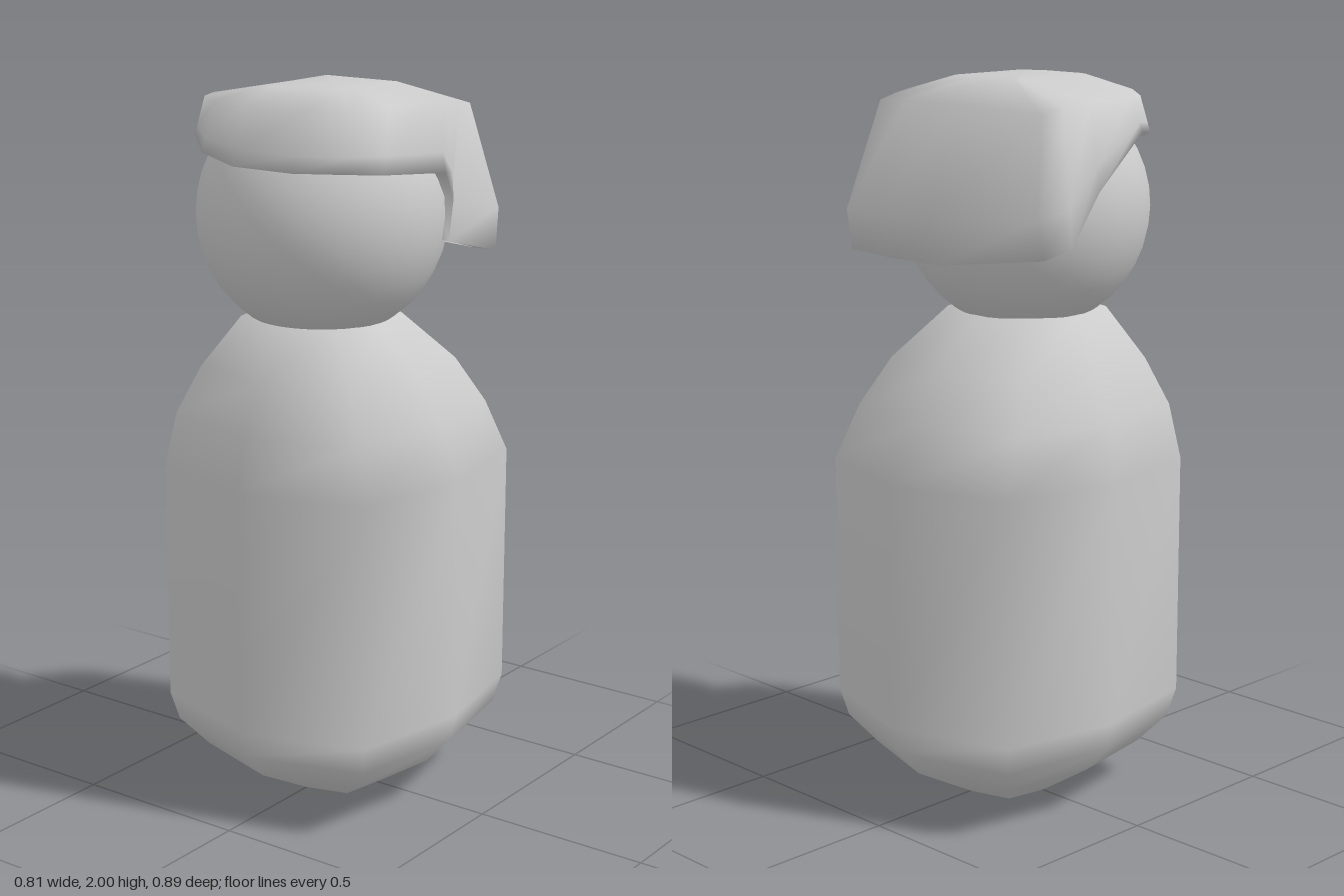
import * as THREE from 'three';

const material = new THREE.MeshStandardMaterial({ color: 0xcccccc, side: THREE.DoubleSide });

// Skin equal-length rings of [x, y, z], bottom to top, running front -> +x -> back.
function loft(name, rings, bottom, top) {
  const n = rings[0].length;
  const points = [...rings.flat()];
  const index = [];
  for (let r = 0; r < rings.length - 1; r++) {
    for (let i = 0; i < n; i++) {
      const j = (i + 1) % n;
      const a = r * n + i, b = r * n + j;
      index.push(a, b, b + n, a, b + n, a + n);
    }
  }
  const cap = (centre, start, up) => {
    const c = points.push(centre) - 1;
    for (let i = 0; i < n; i++) {
      const a = start + i, b = start + (i + 1) % n;
      index.push(...(up ? [a, b, c] : [b, a, c]));
    }
  };
  if (bottom) cap(bottom, 0, false);
  if (top) cap(top, (rings.length - 1) * n, true);
  const geometry = new THREE.BufferGeometry();
  geometry.setAttribute('position', new THREE.Float32BufferAttribute(points.flat(), 3));
  geometry.setIndex(index);
  geometry.computeVertexNormals();
  const mesh = new THREE.Mesh(geometry, material);
  mesh.name = name;
  return mesh;
}

// Eight-sided body; the neck leans forward.
function makeBody() {
  const outline = [[0, 1], [0.84, 0.764], [1, 0], [0.84, -0.764], [0, -1], [-0.84, -0.764], [-1, 0], [-0.84, 0.764]];
  // height, half width, half depth, z offset
  const sections = [
    [0, 0.14, 0.15, 0], [0.11, 0.31, 0.35, 0], [0.19, 0.385, 0.42, 0], [0.27, 0.405, 0.445, 0],
    [0.95, 0.405, 0.445, 0], [1.1, 0.365, 0.395, 0.025], [1.23, 0.3, 0.32, 0.04], [1.37, 0.19, 0.195, 0.075],
  ];
  const rings = sections.map(([y, w, d, z]) => outline.map(([ox, oz]) => [ox * w, y, oz * d + z]));
  return loft('body', rings, [0, 0, 0], [0, 1.37, 0.075]);
}

// Swept hair: short fringe in front, longer at the back with a notch by each ear.
function makeHair() {
  // lower edge, then shoulder point above it
  const columns = [
    [-0.04, 1.81, 0.40, -0.04, 1.96, 0.35],
    [0.15, 1.81, 0.40, 0.15, 1.96, 0.35],
    [0.28, 1.81, 0.33, 0.26, 1.96, 0.29],
    [0.335, 1.805, 0.26, 0.31, 1.965, 0.20],
    [0.335, 1.775, -0.02, 0.31, 1.965, 0.0],
    [0.335, 1.70, -0.06, 0.31, 1.96, -0.06],
    [0.335, 1.59, -0.04, 0.31, 1.95, -0.12],
    [0.335, 1.53, -0.27, 0.29, 1.935, -0.20],
    [0.15, 1.53, -0.30, 0.15, 1.945, -0.23],
    [-0.04, 1.53, -0.30, -0.04, 1.945, -0.23],
    [-0.32, 1.56, -0.19, -0.29, 1.93, -0.17],
    [-0.325, 1.58, -0.09, -0.30, 1.945, -0.10],
    [-0.328, 1.72, 0.01, -0.30, 1.95, 0.0],
    [-0.325, 1.865, 0.18, -0.30, 1.955, 0.16],
    [-0.28, 1.855, 0.26, -0.27, 1.955, 0.23],
    [-0.17, 1.83, 0.365, -0.16, 1.96, 0.32],
  ];
  const clamp = THREE.MathUtils.clamp;
  const inner = columns.map(([x, y, z]) => [x * 0.87, y + 0.01, 0.07 + (z - 0.07) * 0.87]);
  const edge = columns.map((c) => c.slice(0, 3));
  const side = columns.map(([x, y, z, sx, sy, sz]) => {
    const back = clamp((-z - 0.1) / 0.2, 0, 1);
    return [x + (sx - x) * 0.2, y + (sy - y) * 0.28, z + (sz - z) * 0.28 - back * 0.053];
  });
  const shoulder = columns.map((c) => c.slice(3));
  const crown = shoulder.map(([x, , z]) => [clamp(x * 0.7, -0.06, 0.17), 2, clamp(z * 0.75, -0.03, 0.25)]);
  return loft('hair', [inner, edge, side, shoulder, crown], null, [0.05, 2, 0.11]);
}

export function createModel() {
  const model = new THREE.Group();
  model.name = 'figurine';

  const head = new THREE.Mesh(new THREE.SphereGeometry(0.34, 32, 20), material);
  head.name = 'head';
  head.position.set(0, 1.65, 0.07);

  model.add(makeBody(), head, makeHair());
  return model;
}
